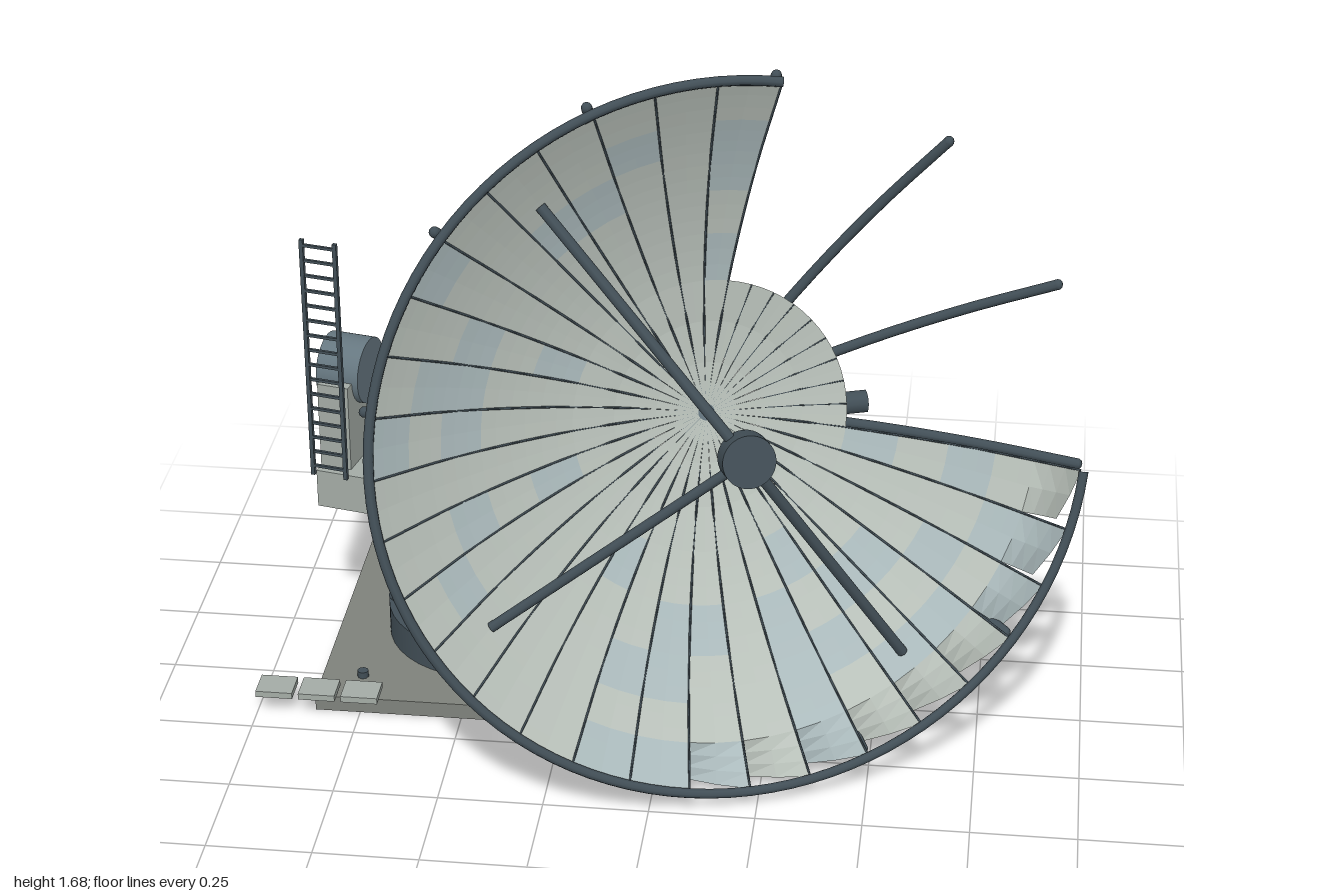
import * as THREE from 'three';
import { mergeGeometries } from 'three/addons/utils/BufferGeometryUtils.js';

const DEG = Math.PI / 180;
const mat = (color, extra = {}) => new THREE.MeshStandardMaterial({ color, ...extra });
const DARK = mat(0x424f57), STEEL = mat(0x667780), LIGHT = mat(0xa4aca6), STONE = mat(0x7f827c);
const PANEL_A = mat(0xb9c1ba, { side: THREE.DoubleSide, flatShading: true });
const PANEL_B = mat(0xabbabc, { side: THREE.DoubleSide, flatShading: true });

function add(parent, name, geo, material, x = 0, y = 0, z = 0) {
  const m = new THREE.Mesh(geo, material);
  m.name = name;
  m.position.set(x, y, z);
  parent.add(m);
  return m;
}
const box = (w, h, d) => new THREE.BoxGeometry(w, h, d);
const cyl = (r, h, n = 32) => new THREE.CylinderGeometry(r, r, h, n);

// Round bar: straight between two points, or curved through several
function bar(points, r, sides = 8) {
  const curve = points.length === 2
    ? new THREE.LineCurve3(...points) : new THREE.CatmullRomCurve3(points);
  return new THREE.TubeGeometry(curve, points.length === 2 ? 1 : 12, r, sides);
}

// Paraboloid of the reflector, measured along its axis from the hub
const RIM = 0.84, VERTEX = 0.125, CURVE = 0.445;
const depth = r => VERTEX + CURVE * r * r;
const onDish = (r, deg, off = 0) =>
  new THREE.Vector3(r * Math.cos(deg * DEG), r * Math.sin(deg * DEG), depth(r) + off);

// One reflector panel; twist pushes one outer corner backwards
function panel(r0, r1, a0, a1, twist = 0) {
  const g = new THREE.PlaneGeometry(1, 1, 2, 3), p = g.attributes.position;
  for (let i = 0; i < p.count; i++) {
    const u = p.getX(i) + 0.5, v = p.getY(i) + 0.5;
    const q = onDish(r0 + (r1 - r0) * v, a1 + (a0 - a1) * u, -twist * u * v);
    p.setXYZ(i, q.x, q.y, q.z);
  }
  g.computeVertexNormals();
  return g;
}

function makeDish() {
  const dish = new THREE.Group();
  dish.name = 'dish';
  const gapEnd = 80, start = -10;          // the quarter from -10 to 80 degrees is missing
  const rings = [0.02, 0.33, 0.45, 0.56, 0.66, 0.74, 0.835];
  const sets = [[], []], seams = [];
  let seed = 7;
  const rand = () => (seed = (seed * 16807) % 2147483647) / 2147483647;

  // Panels and the thin seams between them; the outermost ones below the gap are bent
  for (let k = 0; k < 36; k++) {
    const a = start + k * 10, missing = a < gapEnd;
    for (let j = 0; j < rings.length - 1; j++) {
      if (missing && j > 0) continue;
      const bent = j === rings.length - 2 && a >= 260;
      sets[j > 0 && rand() < 0.3 ? 1 : 0].push(
        panel(rings[j], rings[j + 1], a + 0.15, a + 9.85, bent ? 0.085 : 0));
    }
    const radii = missing && k > 0 ? [0.14, 0.23, 0.33] : [0.14, 0.33, 0.6, 0.835];
    seams.push(bar(radii.map(r => onDish(r, a, -0.001)), 0.0027, 4));
  }
  add(dish, 'reflectorPanels', mergeGeometries(sets[0]), PANEL_A);
  add(dish, 'patchedPanels', mergeGeometries(sets[1]), PANEL_B);
  add(dish, 'panelSeams', mergeGeometries(seams), DARK);

  // Rim tube around the remaining three quarters
  const rim = new THREE.TorusGeometry(RIM, 0.012, 8, 81, 270 * DEG);
  rim.rotateZ(gapEnd * DEG);
  add(dish, 'rim', rim, DARK, 0, 0, depth(RIM));

  // Curved back ribs, with heavy roots at the hub
  for (let k = 0; k < 12; k++) {
    const a = start + k * 30;
    const pts = [0.07, 0.25, 0.45, 0.65, 0.845].map(r => onDish(r, a, -0.045 - 0.03 * r));
    add(dish, 'backRib', bar(pts, 0.013), DARK);
    add(dish, 'ribRoot', bar([onDish(0.06, a, -0.075), onDish(0.2, a, -0.055)], 0.02), DARK);
    add(dish, 'ribTip', new THREE.SphereGeometry(0.013, 8, 6), DARK).position.copy(pts[4]);
  }

  // Hub and elevation shaft
  add(dish, 'hub', cyl(0.095, 0.19).rotateX(Math.PI / 2), STEEL, 0, 0.01, 0.03);
  add(dish, 'elevationShaft', cyl(0.028, 0.81, 12).rotateZ(Math.PI / 2), DARK, 0.01, -0.04, 0.02);

  // Secondary reflector and its three legs
  add(dish, 'secondaryReflector', cyl(0.062, 0.055).rotateX(Math.PI / 2), DARK, 0, 0, 0.56);
  for (const a of [125, 215, 305]) {
    const c = Math.cos(a * DEG) * 0.04, s = Math.sin(a * DEG) * 0.04;
    add(dish, 'reflectorLeg', bar([new THREE.Vector3(c, s, 0.55), onDish(0.7, a)], 0.013), DARK);
  }
  dish.position.set(0.04, 0.753, -0.145);
  dish.rotation.set(-0.24, 0.318, 0, 'YXZ');
  return dish;
}

// Rotating cradle that carries the dish
function makeTurret() {
  const t = new THREE.Group();
  t.name = 'turret';
  add(t, 'turntable', cyl(0.25, 0.045, 40), STEEL, 0, 0.39, 0);
  add(t, 'cradleBeam', box(0.79, 0.1, 0.28), LIGHT, 0, 0.44, 0);
  for (const s of [-1, 1]) {
    add(t, 'yoke', box(0.08, 0.23, 0.22), LIGHT, s * 0.355, 0.6, 0);
    add(t, 'trunnion', cyl(0.083, 0.11).rotateZ(Math.PI / 2), STEEL, s * 0.355, 0.715, 0);
    add(t, 'driveMotor', box(0.085, 0.07, 0.085), STEEL, s * 0.197, 0.415, -0.175);
  }
  // Access ladder
  const ladder = new THREE.Group();
  ladder.name = 'ladder';
  for (const s of [-1, 1]) add(ladder, 'ladderRail', box(0.01, 0.64, 0.01), DARK, s * 0.043, 0.805, 0);
  for (let i = 0; i < 16; i++) add(ladder, 'rung', box(0.086, 0.007, 0.007), DARK, 0, 0.51 + i * 0.04, 0);
  ladder.position.set(-0.355, 0, 0.15);
  t.add(ladder);
  t.position.set(-0.485, 0, -0.215);
  t.rotation.y = -0.21;
  return t;
}

export function createModel() {
  const model = new THREE.Group();
  model.name = 'brokenDishAntenna';

  // Fixed base
  const base = new THREE.Group();
  base.name = 'base';
  base.position.set(-0.485, 0, -0.215);
  add(base, 'basePlate', box(0.75, 0.04, 0.75), STONE, 0, 0.02, 0);
  add(base, 'baseRing', cyl(0.253, 0.08, 40), DARK, 0, 0.08, 0);
  add(base, 'pedestal', box(0.345, 0.26, 0.345), LIGHT, 0, 0.245, 0);
  for (const x of [-1, 1]) for (const z of [-1, 1])
    add(base, 'anchorBolt', cyl(0.014, 0.018, 8), DARK, x * 0.275, 0.048, z * 0.275);
  add(base, 'controlCabinet', box(0.11, 0.19, 0.2), STEEL, 0.228, 0.145, 0);
  add(base, 'cabinetVent', box(0.006, 0.042, 0.07), mat(0x2b3338), 0.284, 0.182, 0.024);
  model.add(base);

  // Stepping slabs
  for (let i = 0; i < 3; i++)
    add(model, 'slab', box(0.09, 0.016, 0.075), LIGHT, -0.955 + i * 0.105, 0.057, 0.158);

  model.add(makeTurret(), makeDish());
  return model;
}
